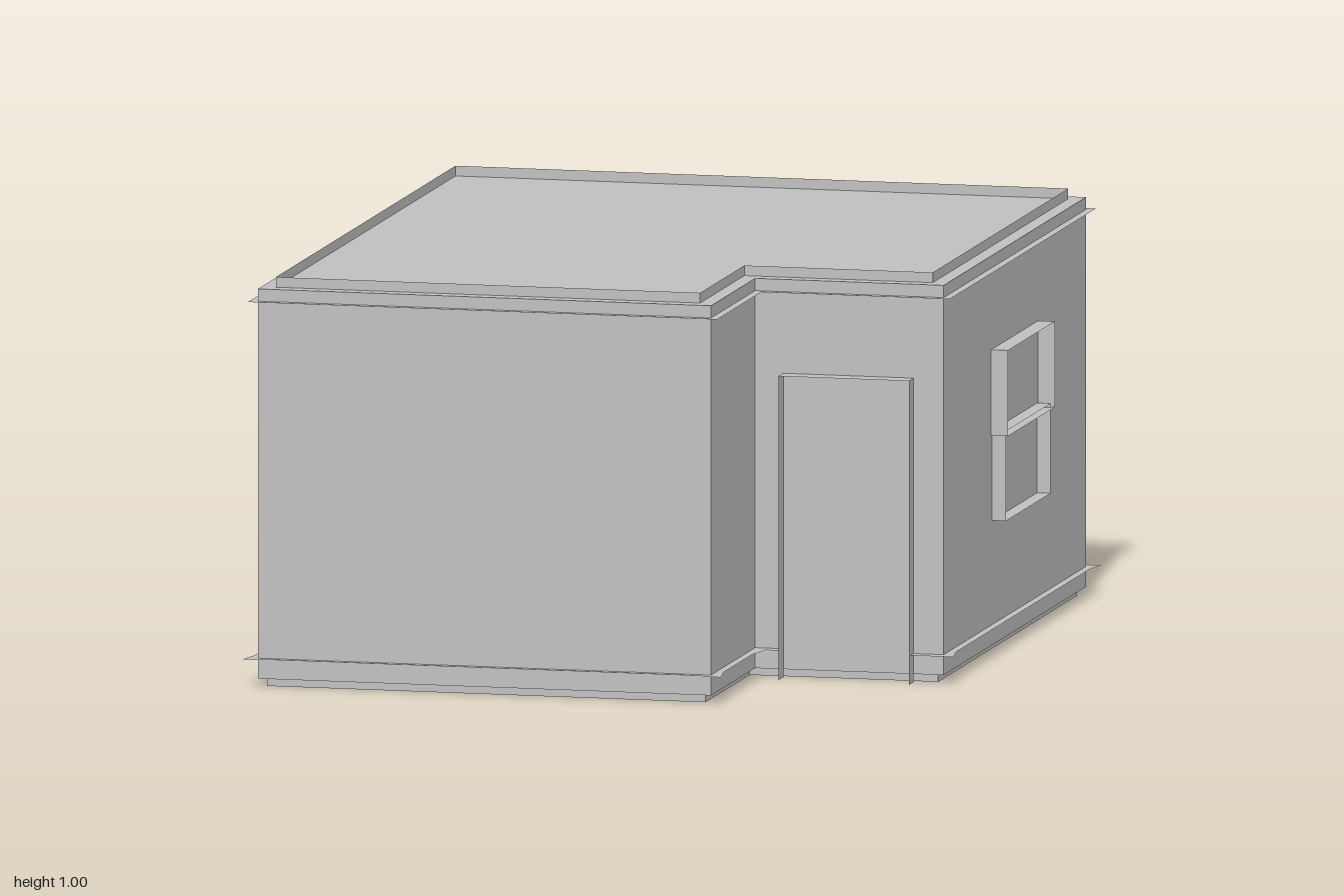
import * as THREE from 'three';

// L-shaped plan, corners as [x, z] pushed outwards by d, starting at the notch
const outline = (d) => [
  [0.8 + d, 0.5 + d], [0.8 + d, -0.95 - d], [-0.8 - d, -0.95 - d],
  [-0.8 - d, 0.95 + d], [0.33 + d, 0.95 + d], [0.33 + d, 0.5 + d],
];

// thin sheet joining two rows of [x, y, z] points
function ribbon(a, b) {
  const pos = [];
  for (let i = 0; i < a.length - 1; i++) {
    pos.push(...a[i], ...a[i + 1], ...b[i + 1], ...a[i], ...b[i + 1], ...b[i]);
  }
  const g = new THREE.BufferGeometry();
  g.setAttribute('position', new THREE.Float32BufferAttribute(pos, 3));
  g.computeVertexNormals();
  return g;
}

const level = (pts, y) => pts.map(([x, z]) => [x, y, z]);
const closed = (pts) => [...pts, pts[0]];

// long edges of the skirting swell slightly between the corners
function swell(pts, amount, margin) {
  const out = [];
  pts.forEach((p, i) => {
    out.push(p);
    const q = pts[i + 1];
    if (!q) return;
    const dx = q[0] - p[0], dz = q[1] - p[1], len = Math.hypot(dx, dz);
    if (len < 0.3) return;
    for (const t of [margin / len, 1 - margin / len]) {
      out.push([p[0] + dx * t - (dz / len) * amount, p[1] + dz * t + (dx / len) * amount]);
    }
  });
  return out;
}

export function createModel() {
  const model = new THREE.Group();
  const grey = new THREE.MeshStandardMaterial({ color: 0xc0c0c0, side: THREE.DoubleSide });
  grey.name = 'plaster grey';

  const add = (name, geometry, parent = model) => {
    const mesh = new THREE.Mesh(geometry, grey);
    mesh.name = name;
    parent.add(mesh);
    return mesh;
  };

  // walls with flat roof and floor
  const plan = new THREE.Shape(outline(0).map(([x, z]) => new THREE.Vector2(x, -z)));
  const body = new THREE.ExtrudeGeometry(plan, { depth: 0.955, bevelEnabled: false });
  body.rotateX(-Math.PI / 2).translate(0, 0.02, 0);
  add('walls', body);

  // upright rims on the roof and under the floor
  const rim = (name, d, y0, y1) => {
    const pts = closed(outline(d));
    add(name, ribbon(level(pts, y0), level(pts, y1)));
  };
  rim('roofParapet', -0.036, 0.975, 1.0);
  rim('footing', -0.018, 0, 0.02);

  // cornice ledge
  add('cornice', ribbon(level(closed(outline(0)), 0.945), level(closed(outline(0.02)), 0.945)));

  // skirting ledge, open at the doorway
  const doorL = 0.4, doorR = 0.725;
  const run = (d) => [[doorR, 0.5 + d], ...outline(d), [doorL, 0.5 + d]];
  const inner = swell(run(0), 0, 0.08);
  const outer = swell(run(0.032), -0.013, 0.08);
  add('skirting', ribbon(level(inner, 0.07), level(outer, 0.07)));

  // door surround standing out from the wall
  const jamb = [[doorL, 0], [doorL, 0.745], [doorR, 0.745], [doorR, 0]];
  const atZ = (z) => jamb.map(([x, y]) => [x, y, z]);
  add('doorFrame', ribbon(atZ(0.5), atZ(0.548)));

  // sash windows, built facing +z around their own centre
  function windowFrame(name, width) {
    const group = new THREE.Group();
    group.name = name;
    const sash = (label, w, y0, y1, depth) => {
      const pts = closed([[-w / 2, y0], [w / 2, y0], [w / 2, y1], [-w / 2, y1]]);
      const row = (z) => pts.map(([x, y]) => [x, y, z]);
      add(label, ribbon(row(0), row(depth)), group);
    };
    sash('upperSash', width, 0.535, 0.745, 0.042);
    sash('lowerSash', width - 0.02, 0.325, 0.545, 0.034);
    model.add(group);
    return group;
  }
  const side = windowFrame('sideWindow', 0.475);
  side.rotation.y = Math.PI / 2;
  side.position.set(0.8, 0, -0.222);
  const back = windowFrame('backWindow', 0.5);
  back.rotation.y = Math.PI;
  back.position.set(-0.045, 0, -0.95);

  // small slivers of ledge on the back wall
  for (const [x0, x1, y] of [[-0.295, -0.44, 0.535], [-0.68, -0.77, 0.46]]) {
    add('backLedge', ribbon(
      [[x0, y, -0.95], [x1, y, -0.95]],
      [[x0, y, -0.975], [x1, y, -0.955]],
    ));
  }
  return model;
}
